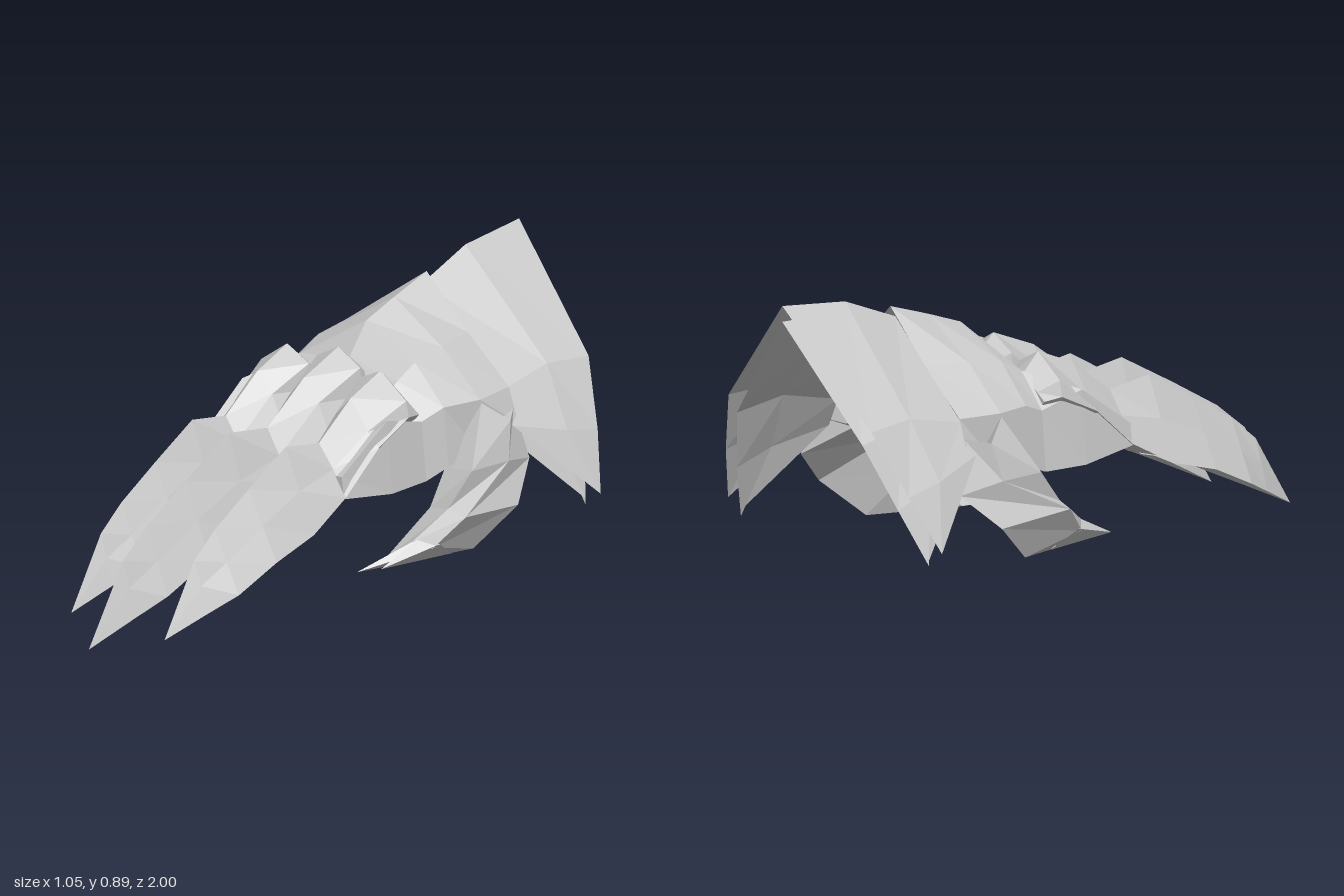
import * as THREE from 'three';

const steel = new THREE.MeshStandardMaterial({ color: 0xc8c8c8, flatShading: true, side: THREE.DoubleSide });
steel.name = 'steel';

// Skin rows of [x, y, z] points; a row with a single point is a tip.
function skin(name, rows, { closed = true, capStart = false, capEnd = false, mirror = false } = {}) {
  const pos = [];
  const tri = (a, b, c) => {
    for (const p of mirror ? [a, c, b] : [a, b, c]) pos.push(mirror ? -p[0] : p[0], p[1], p[2]);
  };
  for (let r = 0; r < rows.length - 1; r++) {
    const a = rows[r], b = rows[r + 1], n = a.length;
    for (let i = 0; i < (closed ? n : n - 1); i++) {
      const j = (i + 1) % n;
      if (b.length === 1) tri(a[i], a[j], b[0]);
      else {
        tri(a[i], a[j], b[j]);
        tri(a[i], b[j], b[i]);
      }
    }
  }
  const cap = (row, flip) => {
    for (let i = 1; i < row.length - 1; i++) {
      if (flip) tri(row[0], row[i + 1], row[i]);
      else tri(row[0], row[i], row[i + 1]);
    }
  };
  if (capStart) cap(rows[0], true);
  if (capEnd) cap(rows[rows.length - 1], false);
  const geo = new THREE.BufferGeometry();
  geo.setAttribute('position', new THREE.Float32BufferAttribute(pos, 3));
  geo.computeVertexNormals();
  const mesh = new THREE.Mesh(geo, steel);
  mesh.name = name;
  return mesh;
}

// Finger sections: z, ridge y, shoulder x, shoulder y, edge x, edge y, underside y
const fingerSections = [
  [-0.23, 0.62, 0.06, 0.60, 0.09, 0.54, 0.40],
  [-0.16, 0.69, 0.09, 0.64, 0.10, 0.55, 0.38],
  [0.00, 0.63, 0.06, 0.56, 0.10, 0.48, 0.35],
  [0.17, 0.51, 0.05, 0.43, 0.095, 0.34, 0.34],
  [0.35, 0.54, 0.05, 0.395, 0.10, 0.25, 0.27],
  [0.55, 0.435, 0.05, 0.318, 0.10, 0.20, 0.22],
  [0.73, 0.335, 0.042, 0.228, 0.085, 0.122, 0.14],
  [0.84, 0.25, 0.025, 0.165, 0.05, 0.073, 0.09],
];

// outward is the finger's outer side: 1, -1, or 0 for the middle finger
function finger(name, outward) {
  const cx = outward * 0.193;
  const [scaleZ, scaleY, lift] = outward ? [0.865, 0.9, 0.04] : [1, 1, 0];
  const rows = fingerSections.map(([z, ridge, sx, sy, ex, ey, under]) =>
    [[0, ridge], [-sx, sy], [-ex, ey], [0, under], [ex, ey], [sx, sy]].map(([x, y]) => {
      const outer = x * outward > 0;
      // outer knuckles slope away and outer edges flare
      const drop = outer && z < 0.1 && y === sy ? 0.03 : 0;
      return [cx + x * (outer ? 1.18 : 1), lift + y * scaleY - drop, z * scaleZ];
    }));
  rows.push([[cx, lift, scaleZ]]);
  return skin(name, rows, { capStart: true });
}

export function createModel() {
  const model = new THREE.Group();
  model.name = 'clawedGauntlet';

  // Three clawed fingers
  model.add(finger('middleFinger', 0), finger('leftFinger', 1), finger('rightFinger', -1));

  // Hand: half sections from top centre to bottom centre, mirrored into full rings
  const handSections = [
    [-0.57, [0, 0.83], [0.17, 0.67], [0.34, 0.53], [0.38, 0.42], [0.22, 0.42], [0, 0.48]],
    [-0.42, [0, 0.785], [0.20, 0.665], [0.355, 0.53], [0.35, 0.36], [0.20, 0.38], [0, 0.42]],
    [-0.29, [0, 0.742], [0.20, 0.65], [0.32, 0.53], [0.34, 0.34], [0.20, 0.32], [0, 0.36]],
    [-0.21, [0, 0.64], [0.20, 0.61], [0.30, 0.50], [0.32, 0.31], [0.18, 0.30], [0, 0.33]],
    [-0.05, [0, 0.50], [0.20, 0.50], [0.30, 0.545], [0.32, 0.31], [0.18, 0.30], [0, 0.31]],
    [0.15, [0, 0.40], [0.20, 0.39], [0.29, 0.41], [0.30, 0.34], [0.18, 0.33], [0, 0.33]],
  ];
  const handRows = handSections.map(([z, ...half]) => {
    const left = half.slice(1, -1).reverse().map(([x, y]) => [x, y, z]);
    const right = half.map(([x, y]) => [-x, y, z]);
    return [...right, ...left];
  });
  model.add(skin('hand', handRows, { capEnd: true }));

  // Thumb on each side, curling down and forward to a point
  const thumbRows = [
    [[0.41, 0.455, -0.50], [0.36, 0.52, -0.42], [0.25, 0.42, -0.42], [0.36, 0.47, -0.57]],
    [[0.43, 0.335, -0.47], [0.42, 0.34, -0.31], [0.31, 0.33, -0.31], [0.39, 0.30, -0.61]],
    [[0.465, 0.22, -0.23], [0.40, 0.235, -0.22], [0.30, 0.21, -0.25], [0.45, 0.19, -0.49]],
    [[0.41, 0.13, -0.14], [0.36, 0.15, -0.10], [0.275, 0.078, -0.06], [0.39, 0.07, -0.35]],
    [[0.28, 0.075, 0.07]],
  ];
  // Small second point beside the thumb claw
  const spurRows = [
    [[0.42, 0.14, -0.16], [0.37, 0.16, -0.12], [0.34, 0.10, -0.16], [0.39, 0.08, -0.25]],
    [[0.345, 0.09, 0.03]],
  ];

  // Cuff half: a ridged flaring sheet, front edge tucked under the hand, to back edge
  const tip = [0.525, 0.165, -0.79];
  const cuffRows = [
    [[0, 0.795, -0.55], [0.32, 0.515, -0.55], [0.385, 0.42, -0.54], tip],
    [[0, 0.87, -0.75], [0.33, 0.555, -0.76], [0.44, 0.37, -0.73], tip],
    [[0, 0.89, -1.00], [0.35, 0.54, -0.93], [0.45, 0.34, -0.86], tip],
  ];
  const liningRows = cuffRows.map((row, r) => row.map(([x, y, z]) =>
    [x * 0.88, y - 0.03 - (r === 2 ? 0.02 : 0), z]));

  for (const mirror of [false, true]) {
    const side = mirror ? 'right' : 'left';
    model.add(skin(side + 'Thumb', thumbRows, { capStart: true, mirror }));
    model.add(skin(side + 'ThumbSpur', spurRows, { mirror }));
    model.add(skin(side + 'CuffPlate', cuffRows, { closed: false, mirror }));
    model.add(skin(side + 'CuffLining', liningRows, { closed: false, mirror }));
  }
  return model;
}
